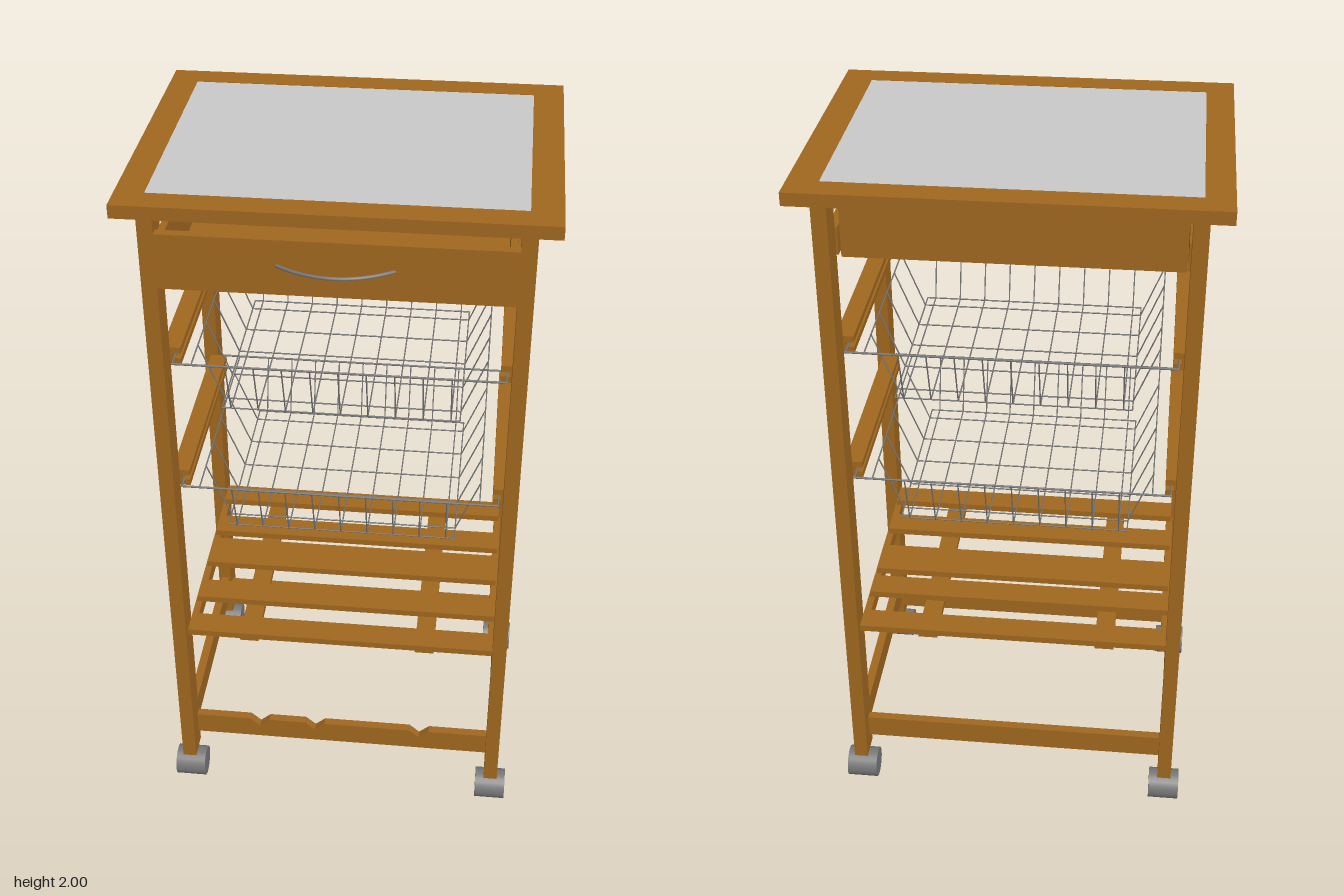
import * as THREE from 'three';

const wood = new THREE.MeshStandardMaterial({ color: 0xa0671f });
wood.name = 'wood';
const tile = new THREE.MeshStandardMaterial({ color: 0xc8c8c8 });
tile.name = 'light grey tile';
const metal = new THREE.MeshStandardMaterial({ color: 0x777777 });
metal.name = 'grey metal';

// box given by its min and max corners
function box(parent, name, x0, x1, y0, y1, z0, z1, mat = wood) {
  const m = new THREE.Mesh(new THREE.BoxGeometry(x1 - x0, y1 - y0, z1 - z0), mat);
  m.position.set((x0 + x1) / 2, (y0 + y1) / 2, (z0 + z1) / 2);
  m.name = name;
  parent.add(m);
  return m;
}

// the same box on both sides of x = 0
function boxPair(parent, name, x0, x1, y0, y1, z0, z1) {
  box(parent, name + 'Left', x0, x1, y0, y1, z0, z1);
  box(parent, name + 'Right', -x1, -x0, y0, y1, z0, z1);
}

// thin wire through a list of points
function wire(parent, name, points, r = 0.002) {
  for (let i = 1; i < points.length; i++) {
    const a = new THREE.Vector3(...points[i - 1]);
    const b = new THREE.Vector3(...points[i]);
    const dir = b.clone().sub(a);
    const m = new THREE.Mesh(new THREE.CylinderGeometry(r, r, dir.length(), 6), metal);
    m.position.copy(a).add(b).multiplyScalar(0.5);
    m.quaternion.setFromUnitVectors(new THREE.Vector3(0, 1, 0), dir.normalize());
    m.name = name;
    parent.add(m);
  }
}

function group(parent, name) {
  const g = new THREE.Group();
  g.name = name;
  parent.add(g);
  return g;
}

// framed top with an inset tile
function addTop(root) {
  const g = group(root, 'tableTop');
  box(g, 'topFrameFront', -0.5425, 0.5425, 1.965, 2, 0.34, 0.415);
  box(g, 'topFrameBack', -0.5425, 0.5425, 1.965, 2, -0.435, -0.36);
  box(g, 'topFrameRight', -0.5425, -0.468, 1.965, 2, -0.36, 0.34);
  box(g, 'topFrameLeft', 0.462, 0.5425, 1.965, 2, -0.36, 0.34);
  box(g, 'tilePanel', -0.468, 0.462, 1.968, 1.999, -0.36, 0.34, tile);
}

// drawer with open top and a bowed pull
function addDrawer(root) {
  const g = group(root, 'drawer');
  box(g, 'drawerFront', -0.445, 0.445, 1.76, 1.91, 0.355, 0.38);
  boxPair(g, 'drawerSide', 0.42, 0.438, 1.76, 1.91, -0.28, 0.355);
  box(g, 'drawerBack', -0.42, 0.42, 1.76, 1.91, -0.28, -0.262);
  box(g, 'drawerBottom', -0.42, 0.42, 1.76, 1.772, -0.262, 0.355);
  const bow = new THREE.QuadraticBezierCurve3(
    new THREE.Vector3(-0.145, 1.84, 0.378),
    new THREE.Vector3(0, 1.84, 0.48),
    new THREE.Vector3(0.145, 1.84, 0.378));
  const pull = new THREE.Mesh(new THREE.TubeGeometry(bow, 20, 0.005, 6), metal);
  pull.name = 'drawerPull';
  g.add(pull);
  // runners and the upper back rail
  boxPair(g, 'drawerRunner', 0.44, 0.465, 1.775, 1.85, -0.3, 0.3);
  box(g, 'upperBackRail', -0.445, 0.445, 1.925, 1.965, -0.303, -0.285);
}

// wire basket hung in a pair of grooved rails
function addBasket(root, top) {
  const g = group(root, 'wireBasket');
  const low = top - 0.163;
  boxPair(g, 'basketRail', 0.44, 0.465, top - 0.025, top + 0.025, -0.3, 0.3);
  boxPair(g, 'basketRailUpperLip', 0.417, 0.44, top + 0.007, top + 0.025, -0.3, 0.3);
  boxPair(g, 'basketRailLowerLip', 0.417, 0.44, top - 0.025, top - 0.007, -0.3, 0.3);
  const X = 0.383, Z = 0.34, bx = 0.318, bz = 0.287;
  for (const s of [-1, 1]) {
    wire(g, 'rimWire', [[-0.435, top, s * Z], [0.435, top, s * Z]], 0.003);
    wire(g, 'hangerWire', [[s * 0.432, top, -Z], [s * 0.432, top, Z]], 0.003);
    wire(g, 'rimSideWire', [[s * X, top, -Z], [s * X, top, Z]]);
  }
  for (let i = -4; i <= 4; i++) {
    const x = i * 0.0735;
    wire(g, 'lengthWire', [[x, top, -Z], [x, low, -bz], [x, low, bz], [x, top, Z]]);
  }
  for (let i = -2; i <= 2; i++) {
    const z = i * 0.12;
    wire(g, 'crossWire', [[-X, top, z], [-bx, low, z], [bx, low, z], [X, top, z]]);
  }
  wire(g, 'floorWire', [[-bx, low, -bz], [bx, low, -bz], [bx, low, bz], [-bx, low, bz], [-bx, low, -bz]]);
}

// slatted shelf on side rails and two battens
function addShelf(root) {
  const g = group(root, 'slatShelf');
  for (const [z0, z1] of [[0.28, 0.355], [0.125, 0.205], [-0.08, 0.04], [-0.195, -0.115], [-0.355, -0.28]]) {
    box(g, 'shelfSlat', -0.445, 0.445, 0.587, 0.606, z0, z1);
  }
  boxPair(g, 'shelfRail', 0.43, 0.45, 0.543, 0.587, -0.3, 0.3);
  box(g, 'shelfBatten', -0.295, -0.24, 0.567, 0.587, -0.34, 0.34);
  box(g, 'shelfBatten', 0.22, 0.275, 0.567, 0.587, -0.34, 0.34);
}

// lower frame, front rail notched along its top
function addBase(root) {
  const g = group(root, 'baseFrame');
  const s = new THREE.Shape();
  s.moveTo(-0.445, 0.155);
  s.lineTo(0.445, 0.155);
  s.lineTo(0.445, 0.225);
  for (const x of [0.24, -0.08, -0.25]) {
    s.lineTo(x + 0.03, 0.225);
    s.lineTo(x, 0.198);
    s.lineTo(x - 0.03, 0.225);
  }
  s.lineTo(-0.445, 0.225);
  const front = new THREE.Mesh(new THREE.ExtrudeGeometry(s, { depth: 0.025, bevelEnabled: false }), wood);
  front.position.z = 0.296;
  front.name = 'baseFrontRail';
  g.add(front);
  box(g, 'baseBackRail', -0.445, 0.445, 0.155, 0.225, -0.335, -0.31);
  boxPair(g, 'baseSideRail', 0.45, 0.475, 0.18, 0.255, -0.3, 0.3);
}

// four legs on casters
function addLegs(root) {
  for (const x of [-0.465, 0.465]) {
    for (const z of [-0.34, 0.34]) {
      const g = group(root, (z > 0 ? 'front' : 'back') + (x > 0 ? 'Left' : 'Right') + 'Leg');
      box(g, 'legPost', x - 0.02, x + 0.02, 0.105, 1.965, z - 0.039, z + 0.039);
      const pin = new THREE.Mesh(new THREE.CylinderGeometry(0.01, 0.01, 0.06, 10), metal);
      pin.position.set(x, 0.09, z);
      pin.name = 'casterPin';
      const wheel = new THREE.Mesh(new THREE.CylinderGeometry(0.045, 0.045, 0.09, 24), metal);
      wheel.rotation.z = Math.PI / 2;
      wheel.position.set(x, 0.046, z);
      wheel.name = 'casterWheel';
      g.add(pin, wheel);
    }
  }
}

export function createModel() {
  const root = new THREE.Group();
  root.name = 'kitchenTrolley';
  addTop(root);
  addDrawer(root);
  addBasket(root, 1.515);
  addBasket(root, 1.12);
  addShelf(root);
  addBase(root);
  addLegs(root);
  return root;
}
